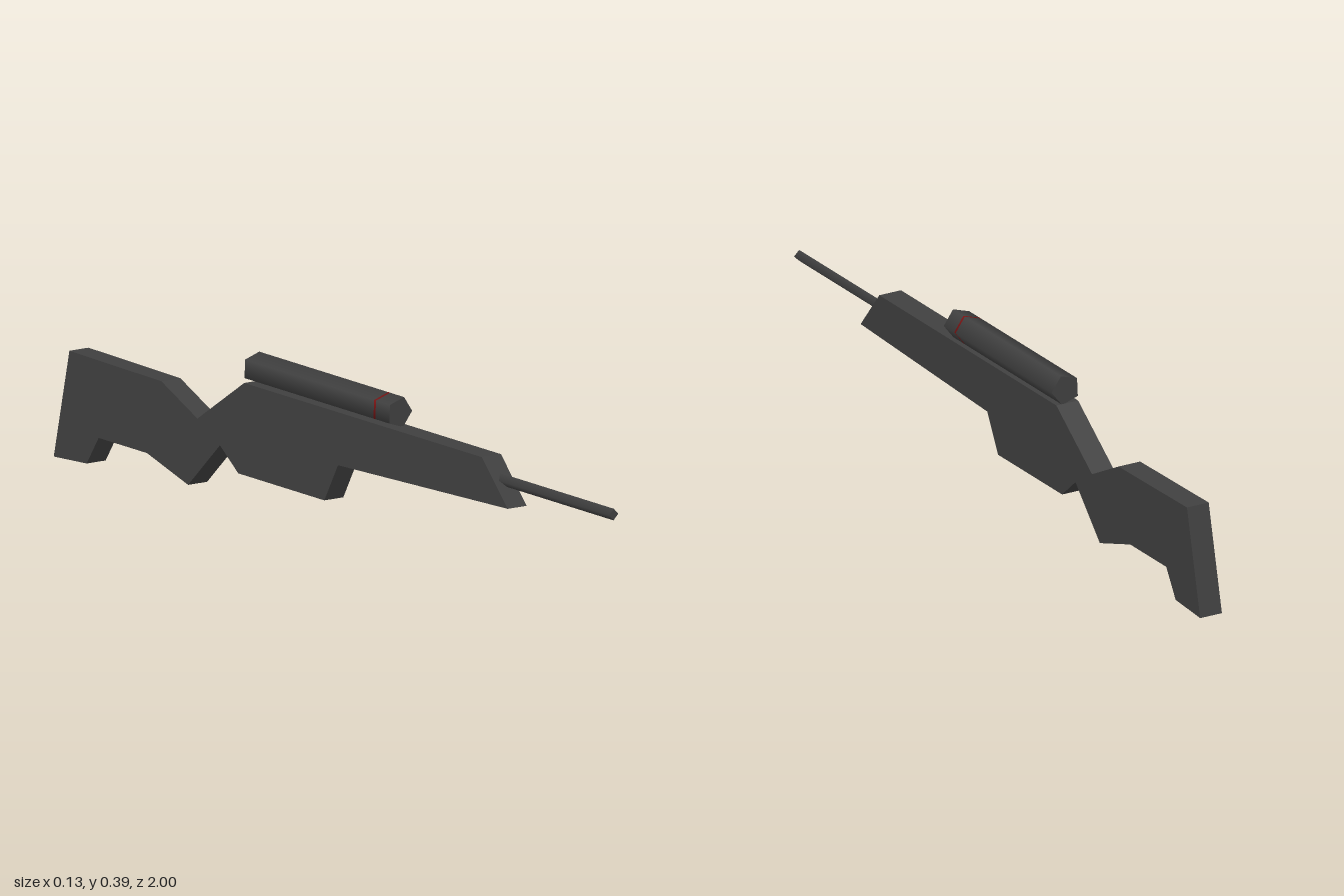
import * as THREE from 'three';

const gunmetal = new THREE.MeshStandardMaterial({ color: 0x404040 });
gunmetal.name = 'gunmetal';
const red = new THREE.MeshStandardMaterial({ color: 0x7a1414 });
red.name = 'red';

// Prism lying along z between two depths, with one corner pointing to +x
function rod(name, radius, sides, zBack, zFront, x, y, material, open = false) {
  const geometry = new THREE.CylinderGeometry(
    radius, radius, zFront - zBack, sides, 1, open, Math.PI / 2);
  geometry.rotateX(Math.PI / 2);
  const mesh = new THREE.Mesh(geometry, material);
  mesh.position.set(x, y, (zBack + zFront) / 2);
  mesh.name = name;
  return mesh;
}

export function createModel() {
  const model = new THREE.Group();
  model.name = 'rifle';

  // The whole rifle leans and turns slightly
  const rifle = new THREE.Group();
  rifle.name = 'tiltedRifle';
  rifle.rotation.set(0, 0.0335, -0.045);
  rifle.position.x = -0.0015;
  model.add(rifle);

  // Receiver, grip and stock: one side profile given as (z, y)
  const width = 0.058;
  const profile = [
    [0.55, 0.321], [0.65, 0.217], [0.03, 0.194], [-0.015, 0.1],
    [-0.33, 0.1], [-0.4, 0.153], [-0.51, 0.035], [-0.663, 0.08],
    [-0.84, 0.08], [-0.88, 0.01], [-1, 0.002], [-0.957, 0.266],
    [-0.62, 0.262], [-0.485, 0.2], [-0.32, 0.32],
  ].map(([z, y]) => new THREE.Vector2(z, y));
  const bodyGeometry = new THREE.ExtrudeGeometry(new THREE.Shape(profile), {
    depth: width, bevelEnabled: false,
  });
  bodyGeometry.translate(0, 0, -width / 2);
  bodyGeometry.rotateY(-Math.PI / 2);
  const body = new THREE.Mesh(bodyGeometry, gunmetal);
  body.name = 'bodyAndStock';
  rifle.add(body);

  // Thin four-sided barrel
  rifle.add(rod('barrel', 0.014, 4, 0.55, 1, 0, 0.272, gunmetal));

  // Five-sided scope with a narrow red band near its front
  const scope = new THREE.Group();
  scope.name = 'scope';
  scope.add(
    rod('scopeTube', 0.038, 5, -0.32, 0.152, 0.002, 0.354, gunmetal),
    rod('scopeBand', 0.038, 5, 0.152, 0.159, 0.002, 0.354, red, true),
    rod('scopeFront', 0.038, 5, 0.159, 0.21, 0.002, 0.354, gunmetal),
  );
  rifle.add(scope);

  return model;
}
